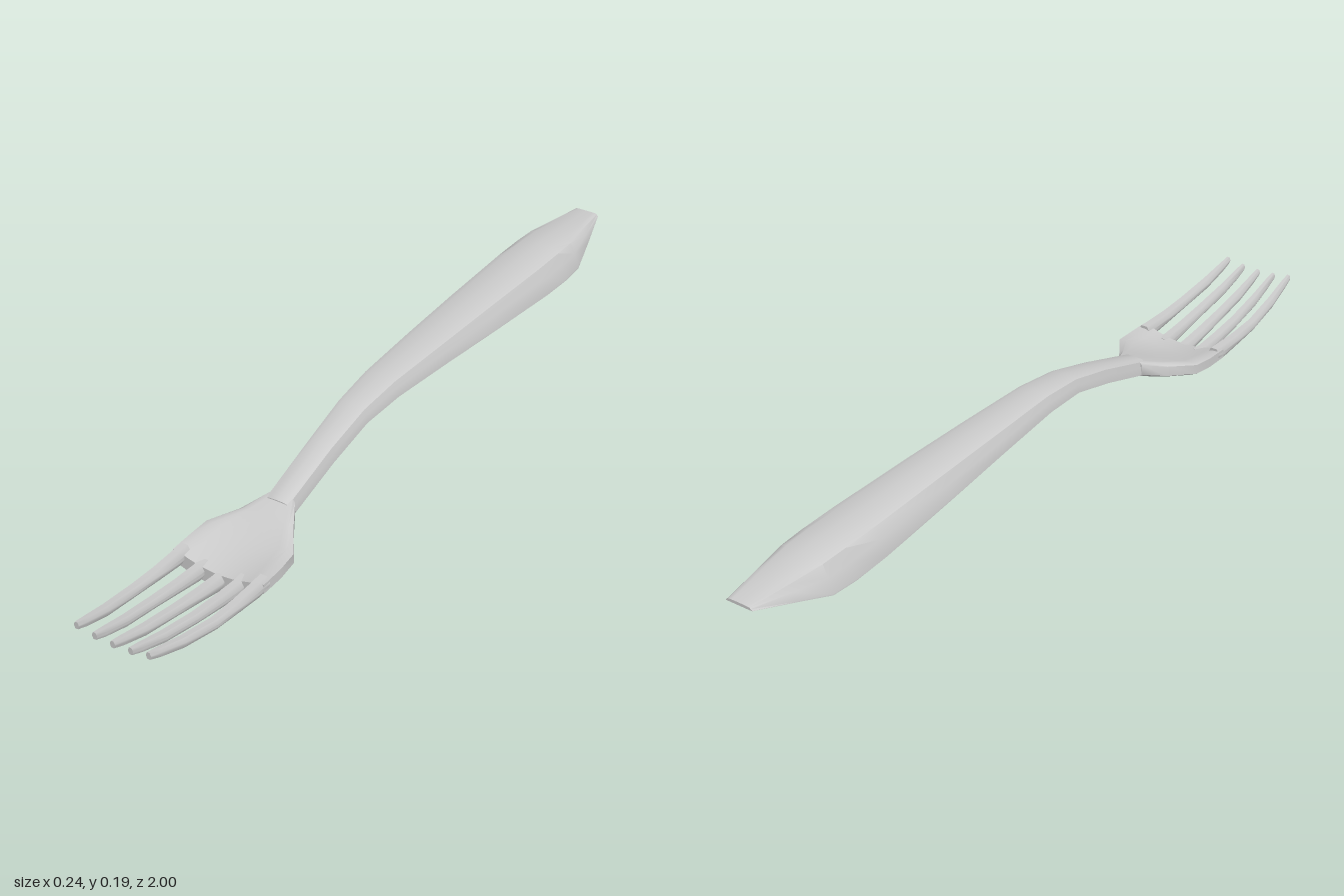
import * as THREE from 'three';
import { toCreasedNormals } from 'three/addons/utils/BufferGeometryUtils.js';

const material = new THREE.MeshStandardMaterial({ color: 0xcccccc });

// Skin a list of rings (counter-clockwise seen from +z, ordered back to front) and cap both ends.
function loft(name, rings, crease) {
  const n = rings[0].length;
  const index = [];
  const last = (rings.length - 1) * n;
  for (let i = 0; i < rings.length - 1; i++) {
    for (let j = 0; j < n; j++) {
      const a = i * n + j, b = i * n + (j + 1) % n;
      index.push(a, b, b + n, a, b + n, a + n);
    }
  }
  // End caps join each upper point to the lower point beneath it
  for (let j = 0; j < n / 2 - 1; j++) {
    const a = j, b = j + 1, c = n - 2 - j, d = n - 1 - j;
    index.push(a, c, b, a, d, c);
    index.push(last + a, last + b, last + c, last + a, last + c, last + d);
  }
  const geometry = new THREE.BufferGeometry();
  geometry.setAttribute('position', new THREE.Float32BufferAttribute(rings.flat(2), 3));
  geometry.setIndex(index);
  const mesh = new THREE.Mesh(toCreasedNormals(geometry, crease), material);
  mesh.name = name;
  return mesh;
}

// Handle section: rounded top, sloping sides, nearly flat and wider underside
function handleRing([z, w, topRatio, top, bottom]) {
  const t = w * topRatio, h = top - bottom;
  const upper = [
    [w, bottom + 0.04 * h], [(w + t) / 2, bottom + 0.5 * h], [t, top - 0.12 * h], [0.7 * t, top - 0.02 * h], [0, top],
  ];
  const ring = [...upper, ...upper.slice(0, 4).reverse().map(([x, y]) => [-x, y])];
  for (const k of [-1, -0.8, -0.6, -0.3, 0, 0.3, 0.6, 0.8, 1]) ring.push([k * w, bottom]);
  return ring.map(([x, y]) => [x, y, z]);
}

// Head section: a shallow dish whose edges rise above the middle
function headRing([z, w, top, bottom, rise]) {
  const ring = [];
  const cols = 12;
  for (let i = 0; i <= cols; i++) {
    const k = 1 - 2 * i / cols;
    const drop = Math.abs(k) === 1 ? 0.006 : 0;
    ring.push([k * w, top + rise * k * k - drop, z]);
  }
  for (let i = 0; i <= cols; i++) {
    const k = -1 + 2 * i / cols;
    const lift = Math.abs(k) === 1 ? 0.006 : 0;
    ring.push([k * w, bottom + rise * k * k + lift, z]);
  }
  return ring;
}

// Tine section: an eight-sided bar
function tineRing(z, x, w, top, bottom) {
  const y = k => bottom + (top - bottom) * k;
  return [
    [1, 0.62], [0.55, 1], [-0.55, 1], [-1, 0.62],
    [-1, 0.38], [-0.55, 0], [0.55, 0], [1, 0.38],
  ].map(([a, b]) => [x + a * w, y(b), z]);
}

export function createModel() {
  const fork = new THREE.Group();
  fork.name = 'fork';

  // Handle: z, half width, top ratio, top, bottom
  fork.add(loft('handle', [
    [-1.0, 0.035, 0.8, 0.163, 0.156],
    [-0.9, 0.061, 0.72, 0.173, 0.132],
    [-0.81, 0.082, 0.7, 0.183, 0.108],
    [-0.74, 0.085, 0.7, 0.187, 0.107],
    [-0.64, 0.085, 0.7, 0.189, 0.113],
    [-0.4, 0.074, 0.72, 0.193, 0.129],
    [-0.2, 0.063, 0.75, 0.194, 0.142],
    [0.0, 0.051, 0.78, 0.194, 0.152],
    [0.12, 0.043, 0.8, 0.182, 0.145],
    [0.25, 0.037, 0.82, 0.149, 0.11],
    [0.42, 0.034, 0.85, 0.096, 0.057],
  ].map(handleRing), 0.75));

  // Head: z, half width, top, bottom, edge rise
  fork.add(loft('head', [
    [0.4, 0.034, 0.1, 0.062, -0.003],
    [0.46, 0.07, 0.08, 0.042, -0.002],
    [0.525, 0.114, 0.058, 0.022, 0.01],
    [0.58, 0.118, 0.046, 0.01, 0.018],
    [0.642, 0.118, 0.036, 0.001, 0.027],
  ].map(headRing), 0.75));

  // Five tines: z, spacing, half width, top, bottom, extra height of the outer pair
  const stations = [
    [0.62, 0.0515, 0.0155, 0.038, 0.004, 0.025],
    [0.65, 0.0515, 0.015, 0.036, 0.001, 0.026],
    [0.72, 0.0515, 0.014, 0.044, 0.016, 0.018],
    [0.8, 0.0515, 0.013, 0.056, 0.032, 0.011],
    [0.9, 0.0485, 0.011, 0.075, 0.05, 0.01],
    [0.97, 0.046, 0.008, 0.093, 0.071, 0.01],
    [1.0, 0.0452, 0.006, 0.1, 0.083, 0.01],
  ];
  const tines = new THREE.Group();
  tines.name = 'tines';
  for (let i = -2; i <= 2; i++) {
    const u = i * i / 4;
    tines.add(loft('tine', stations.map(([z, pitch, w, top, bottom, rise]) =>
      tineRing(z, i * pitch, w, top + rise * u, bottom + rise * u)), 0.9));
  }
  fork.add(tines);

  return fork;
}
